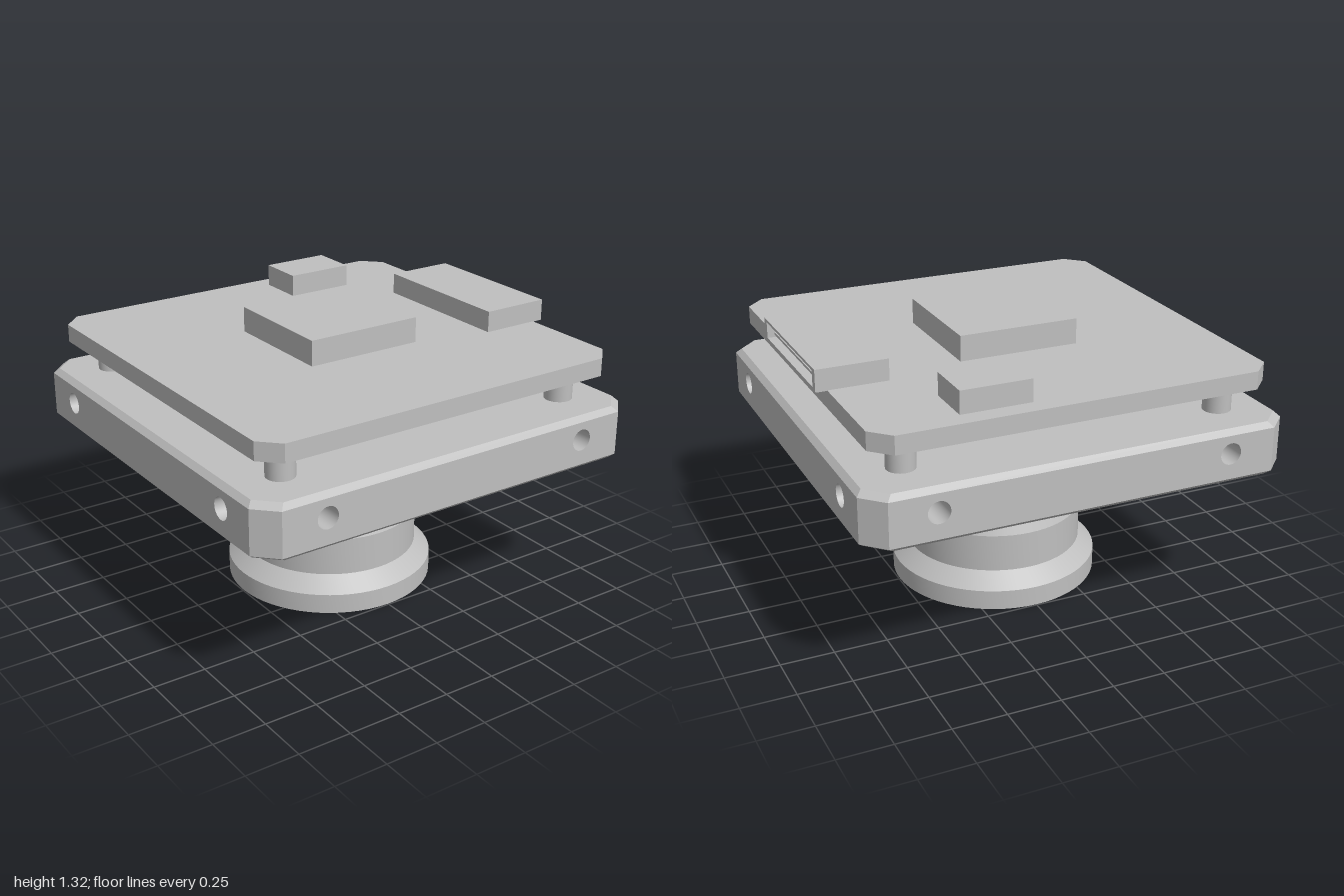
import * as THREE from 'three';
import { toCreasedNormals } from 'three/addons/utils/BufferGeometryUtils.js';

const CUT = 0.905; // where the clipped corners begin, as a share of the half width
const CORNERS = [[CUT, 1], [1, CUT], [1, -CUT], [CUT, -1], [-CUT, -1], [-1, -CUT], [-1, CUT], [-CUT, 1]];

// Closed clipped-corner slab from [y, halfWidth] rings; openBand leaves out the long walls of one band
function slabGeometry(rings, openBand = -1) {
  const pos = [];
  const point = (r, i) => {
    const [y, s] = rings[r], [x, z] = CORNERS[i % 8];
    return [x * s, y, z * s];
  };
  const last = rings.length - 1;
  for (let i = 0; i < 8; i++) {
    for (let r = 0; r < last; r++) {
      if (r === openBand && i % 2 === 1) continue;
      const a = point(r, i), b = point(r, i + 1), c = point(r + 1, i + 1), d = point(r + 1, i);
      pos.push(...a, ...b, ...c, ...a, ...c, ...d);
    }
    pos.push(0, rings[last][0], 0, ...point(last, i), ...point(last, i + 1));
    pos.push(0, rings[0][0], 0, ...point(0, i + 1), ...point(0, i));
  }
  const g = new THREE.BufferGeometry();
  g.setAttribute('position', new THREE.Float32BufferAttribute(pos, 3));
  g.computeVertexNormals();
  return g;
}

function rectShape(x0, x1, y0, y1, Type = THREE.Shape) {
  const s = new Type();
  s.moveTo(x0, y0);
  s.lineTo(x1, y0);
  s.lineTo(x1, y1);
  s.lineTo(x0, y1);
  s.closePath();
  return s;
}

export function createModel() {
  const model = new THREE.Group();
  const grey = new THREE.MeshStandardMaterial({ color: 0xbfbfbf, side: THREE.DoubleSide });
  grey.name = 'grey';

  const add = (name, geometry, parent = model) => {
    const mesh = new THREE.Mesh(geometry, grey);
    mesh.name = name;
    parent.add(mesh);
    return mesh;
  };
  const addBox = (name, x0, x1, y0, y1, z0, z1, parent) => {
    const mesh = add(name, new THREE.BoxGeometry(x1 - x0, y1 - y0, z1 - z0), parent);
    mesh.position.set((x0 + x1) / 2, (y0 + y1) / 2, (z0 + z1) / 2);
  };

  // Lens barrel with recessed glass, opening downwards
  const profile = [
    [0, 0.055], [0.13, 0.058], [0.26, 0.066], [0.385, 0.08], [0.385, 0],
    [0.495, 0], [0.495, 0.095], [0.42, 0.165], [0.42, 0.345], [0.37, 0.46],
    [0.425, 0.46], [0.425, 0.72],
  ].map(([r, y]) => new THREE.Vector2(r, y));
  add('lensBarrel', toCreasedNormals(new THREE.LatheGeometry(profile, 64), 0.35));

  // Housing plate with bevelled edges
  add('housingPlate', slabGeometry([[0.715, 0.975], [0.737, 1], [0.945, 1], [0.97, 0.975]], 1));

  // Four side walls, each with two blind screw holes
  const holeR = 0.051, holeY = 0.858, holeX = 0.687, holeDepth = 0.2;
  const wall = rectShape(-CUT, CUT, 0.737, 0.945);
  for (const s of [-1, 1]) {
    const hole = new THREE.Path();
    hole.absarc(s * holeX, holeY, holeR, 0, Math.PI * 2, true);
    wall.holes.push(hole);
  }
  const wallGeo = new THREE.ShapeGeometry(wall, 16);
  const boreGeo = new THREE.CylinderGeometry(holeR, holeR, holeDepth, 32, 1, true).rotateX(Math.PI / 2);
  const endGeo = new THREE.CircleGeometry(holeR, 32);
  for (let i = 0; i < 4; i++) {
    const side = new THREE.Group();
    side.name = 'sideWall';
    side.rotation.y = i * Math.PI / 2;
    add('wallFace', wallGeo, side).position.z = 1;
    for (const s of [-1, 1]) {
      add('screwHole', boreGeo, side).position.set(s * holeX, holeY, 1 - holeDepth / 2);
      add('screwHoleEnd', endGeo, side).position.set(s * holeX, holeY, 1 - holeDepth);
    }
    model.add(side);
  }

  // Standoffs between housing and board
  const standoffGeo = new THREE.CylinderGeometry(0.065, 0.065, 0.15, 32);
  for (const x of [-0.757, 0.757]) {
    for (const z of [-0.757, 0.757]) add('standoff', standoffGeo).position.set(x, 1.04, z);
  }

  // Circuit board and its chips
  add('circuitBoard', slabGeometry([[1.11, 0.933], [1.195, 0.933]]));
  addBox('mainChip', -0.287, 0.287, 1.19, 1.315, -0.287, 0.287);
  addBox('smallChip', 0.2, 0.53, 1.19, 1.3, -0.845, -0.615);

  // Connector with a socket open to the side
  const connector = new THREE.Group();
  connector.name = 'connector';
  model.add(connector);
  const shell = rectShape(-0.371, 0.371, 1.193, 1.295);
  shell.holes.push(rectShape(-0.335, 0.335, 1.206, 1.282, THREE.Path));
  const shellGeo = new THREE.ExtrudeGeometry(shell, { depth: 0.235, bevelEnabled: false });
  add('connectorShell', shellGeo.rotateY(Math.PI / 2), connector).position.x = 0.75;
  addBox('connectorBack', 0.653, 0.75, 1.193, 1.295, -0.371, 0.371, connector);
  addBox('connectorTongue', 0.74, 0.965, 1.236, 1.248, -0.285, 0.285, connector);

  return model;
}
